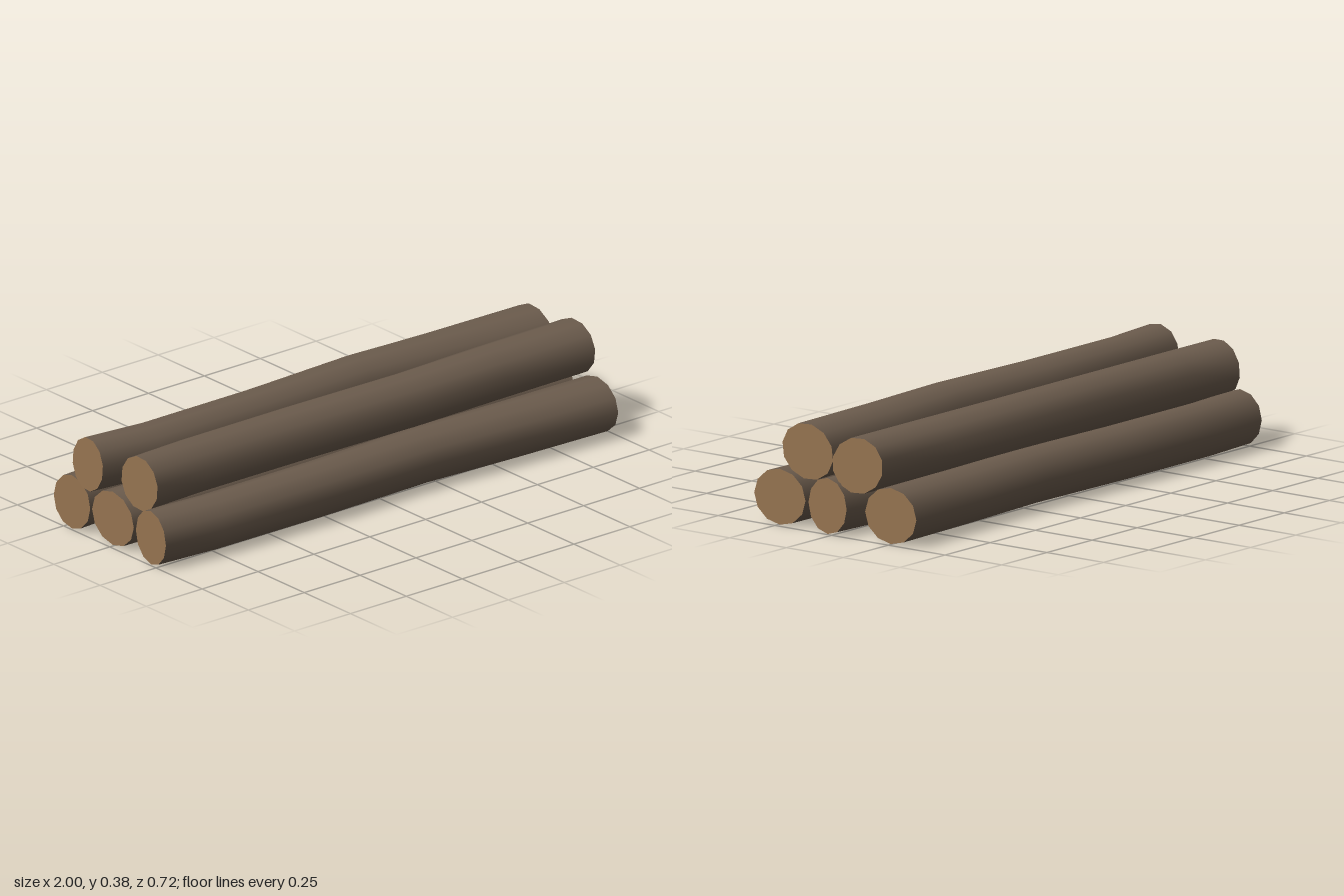
import * as THREE from 'three';
import { toCreasedNormals } from 'three/addons/utils/BufferGeometryUtils.js';

// Stations along a log: position, sideways bend, half width
const STATIONS = [
  [-0.992, -0.031, 0.09],
  [-0.75, -0.014, 0.091],
  [-0.28, -0.013, 0.095],
  [0.2, -0.026, 0.098],
  [0.58, -0.01, 0.106],
  [0.98, 0, 0.113],
];
const HALF_HEIGHT = 0.099;
const END_TILT = 0.08;

// A 12-sided log along x, bent sideways; bend is 1 or -1
function logGeometry(bend) {
  const rows = STATIONS.length - 1;
  const geometry = new THREE.CylinderGeometry(1, 1, 2, 12, rows);
  geometry.rotateZ(-Math.PI / 2);
  const p = geometry.attributes.position;
  for (let i = 0; i < p.count; i++) {
    const row = Math.round(((p.getX(i) + 1) / 2) * rows);
    const [x, offset, halfWidth] = STATIONS[row];
    const side = p.getZ(i) * halfWidth;
    // The narrow end is cut square to its bent axis
    const tilt = row === 0 ? -bend * END_TILT * side : 0;
    p.setXYZ(i, x + tilt, p.getY(i) * HALF_HEIGHT, bend * offset + side);
  }
  return toCreasedNormals(geometry, 0.8);
}

export function createModel() {
  const bark = new THREE.MeshStandardMaterial({ color: 0x6d5d4e });
  bark.name = 'bark';
  const cutWood = new THREE.MeshStandardMaterial({ color: 0x957350 });
  cutWood.name = 'cutWood';

  // Name, height, z of the wide end, bend, roll about x, turn about y
  const logs = [
    ['bottomFrontLog', 0.1, 0.244, 1, 0, 0],
    ['bottomMiddleLog', 0.1, -0.007, 1, 0, Math.PI],
    ['bottomBackLog', 0.1, -0.245, -1, 0, 0],
    ['topFrontLog', 0.277, 0.121, -1, -0.17, 0],
    ['topBackLog', 0.257, -0.099, 1, 0.3, 0],
  ];

  const group = new THREE.Group();
  group.name = 'logPile';
  for (const [name, y, z, bend, roll, turn] of logs) {
    const log = new THREE.Mesh(logGeometry(bend), [bark, cutWood, cutWood]);
    log.name = name;
    log.position.set(0, y, z);
    log.rotation.set(roll, turn, 0);
    group.add(log);
  }
  return group;
}
